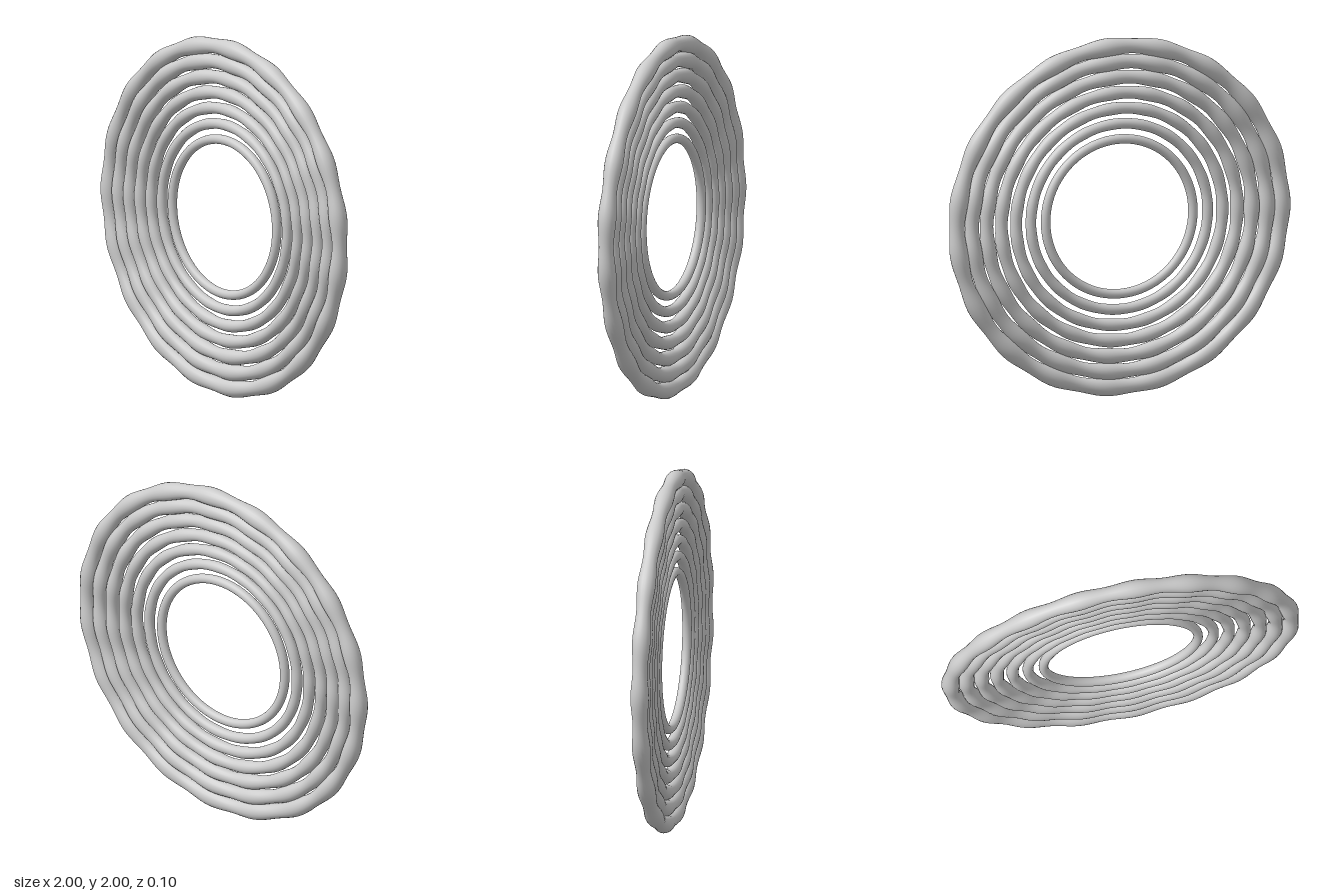
import * as THREE from 'three';

const RINGS = 7;
const WAVES = 19;

// A torus in the XY plane whose tube swells and narrows along its length
function rippledRing(radius, tube, ripple) {
  const geo = new THREE.TorusGeometry(radius, tube, 20, 228);
  const pos = geo.attributes.position;
  const nor = geo.attributes.normal;
  for (let i = 0; i < pos.count; i++) {
    const a = Math.atan2(pos.getY(i), pos.getX(i));
    const swell = -ripple * Math.cos(WAVES * a);
    const slope = ripple * WAVES * Math.sin(WAVES * a) / radius;
    const nx = nor.getX(i), ny = nor.getY(i), nz = nor.getZ(i);
    pos.setXYZ(i, pos.getX(i) + nx * swell, pos.getY(i) + ny * swell, pos.getZ(i) + nz * swell);
    // tilt the normal against the slope of the swelling, keeping the seam smooth
    const n = new THREE.Vector3(nx + Math.sin(a) * slope, ny - Math.cos(a) * slope, nz).normalize();
    nor.setXYZ(i, n.x, n.y, n.z);
  }
  return geo;
}

export function createModel() {
  const group = new THREE.Group();
  group.name = 'concentricRings';
  const material = new THREE.MeshStandardMaterial({ color: 0xcccccc });

  // Nested rings: thicker and more rippled towards the outside
  for (let i = 0; i < RINGS; i++) {
    const t = i / (RINGS - 1);
    const ring = new THREE.Mesh(
      rippledRing(0.432 + 0.519 * t, 0.026 + 0.02 * t, 0.005 * t),
      material
    );
    ring.name = `ring${i + 1}`;
    ring.position.y = 1;
    group.add(ring);
  }
  return group;
}
